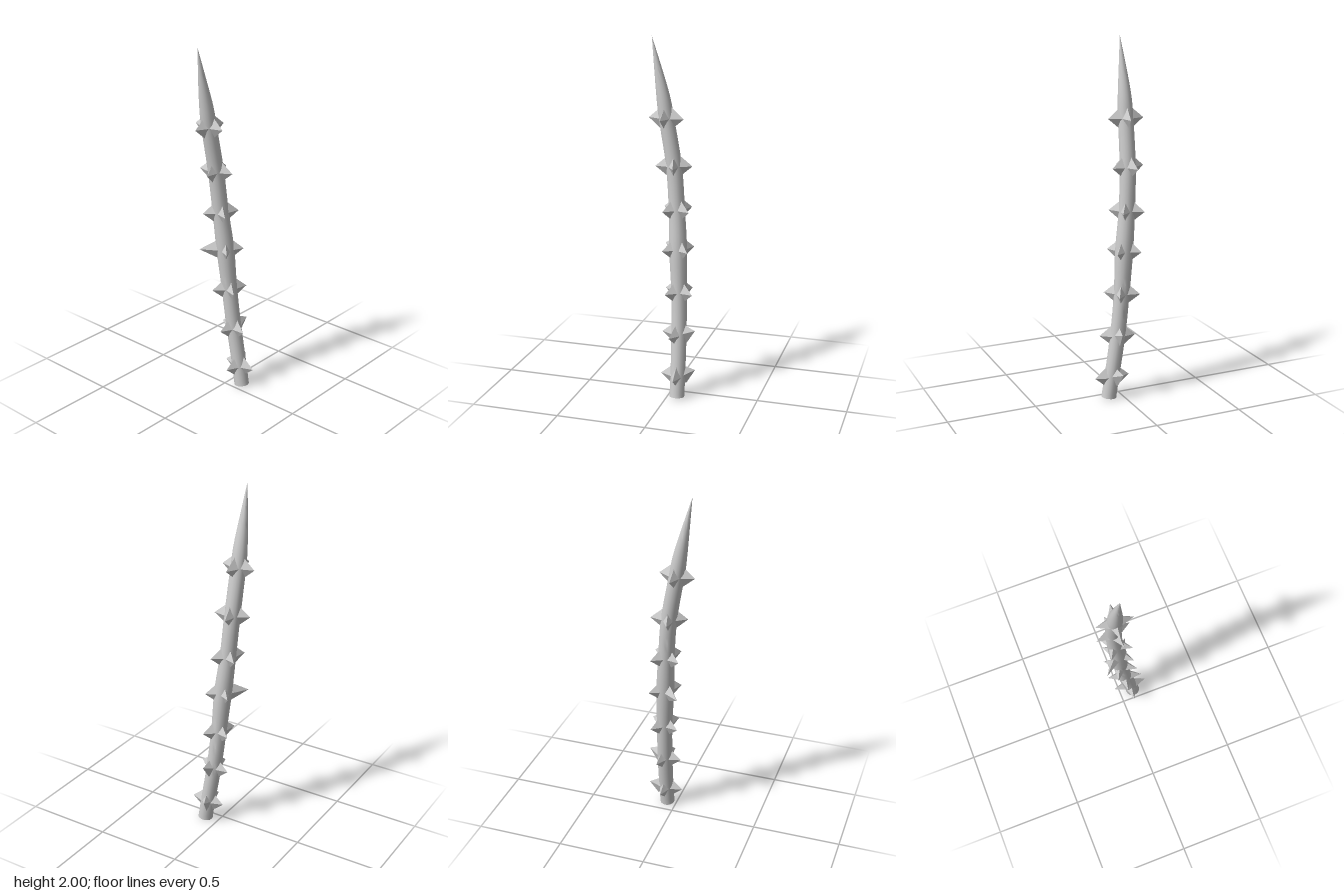
import * as THREE from 'three';
import { toCreasedNormals } from 'three/addons/utils/BufferGeometryUtils.js';

// Stem stations from root to tip: x, y, z, radius
const STATIONS = [
  [0.082, 0.005, -0.055, 0.042],
  [0.063, 0.125, -0.055, 0.042],
  [0.025, 0.36, -0.05, 0.043],
  [-0.003, 0.6, -0.042, 0.044],
  [-0.023, 0.84, -0.03, 0.05],
  [-0.045, 1.06, -0.016, 0.045],
  [-0.06, 1.3, 0.005, 0.044],
  [-0.068, 1.56, 0.05, 0.042],
  [-0.07, 1.68, 0.069, 0.037],
  [-0.071, 1.82, 0.096, 0.022],
  [-0.07, 2.0, 0.132, 0],
];

// Thorn rings: station index and the four thorn angles (degrees from +x towards +z)
const RINGS = [
  [1, [0, 95, 182, 252]],
  [2, [18, 98, 190, 278]],
  [3, [35, 118, 212, 300]],
  [4, [45, 135, 225, 315]],
  [5, [35, 122, 220, 305]],
  [6, [-12, 76, 170, 262]],
  [7, [4, 93, 184, 278]],
];

function makeCurve(pick) {
  return new THREE.CatmullRomCurve3(STATIONS.map(pick), false, 'catmullrom', 0.5);
}

const material = new THREE.MeshStandardMaterial({ color: 0xcccccc });
const flatMaterial = new THREE.MeshStandardMaterial({ color: 0xcccccc, flatShading: true });

// Round profile whose slices are shifted along the bent centre line
function stemGeometry() {
  const centre = makeCurve(([x, y, z]) => new THREE.Vector3(x, y, z));
  const radius = makeCurve(([, , , r]) => new THREE.Vector3(r, 0, 0));
  const steps = 50;
  const centres = centre.getPoints(steps);
  const radii = radius.getPoints(steps).map((p) => Math.max(p.x, 0));
  const profile = centres.map((p, i) => new THREE.Vector2(radii[i], p.y));
  // Closed root end
  profile.unshift(new THREE.Vector2(0, profile[0].y));
  centres.unshift(centres[0]);

  const geometry = new THREE.LatheGeometry(profile, 16);
  const pos = geometry.attributes.position;
  for (let i = 0; i < pos.count; i++) {
    const j = i % profile.length;
    const c = centres[j];
    // Tilt the root slice so it is square to the stem
    const tilt = j < 2 ? 0.12 * pos.getX(i) : 0;
    pos.setXYZ(i, pos.getX(i) + c.x, pos.getY(i) + tilt, pos.getZ(i) + c.z);
  }
  return toCreasedNormals(geometry, 0.7);
}

// Four-sided spike along +x: tall, narrow diamond base sunk in the stem
function thornGeometry(reach) {
  const root = 0.028;
  const geometry = new THREE.ConeGeometry(1, 1, 4, 1);
  geometry.translate(0, 0.5, 0);
  geometry.rotateZ(-Math.PI / 2);
  geometry.scale(reach - root, 0.062, 0.029);
  geometry.translate(root, 0, 0);
  return geometry;
}

export function createModel() {
  const model = new THREE.Group();
  model.name = 'thornyStem';

  const stem = new THREE.Mesh(stemGeometry(), material);
  stem.name = 'stem';
  model.add(stem);

  const thorn = thornGeometry(0.102);
  const longThorn = thornGeometry(0.145);
  for (const [station, angles] of RINGS) {
    const [x, y, z] = STATIONS[station];
    const ring = new THREE.Group();
    ring.name = 'thornRing';
    ring.position.set(x, y, z);
    angles.forEach((angle, k) => {
      const isLong = station === 4 && k === 1;
      const spike = new THREE.Mesh(isLong ? longThorn : thorn, flatMaterial);
      spike.name = isLong ? 'longThorn' : 'thorn';
      spike.rotation.y = -THREE.MathUtils.degToRad(angle);
      // Back thorns near the root hook upwards
      if (station < 3 && k === 3) spike.rotation.z = 0.3;
      ring.add(spike);
    });
    model.add(ring);
  }
  return model;
}
